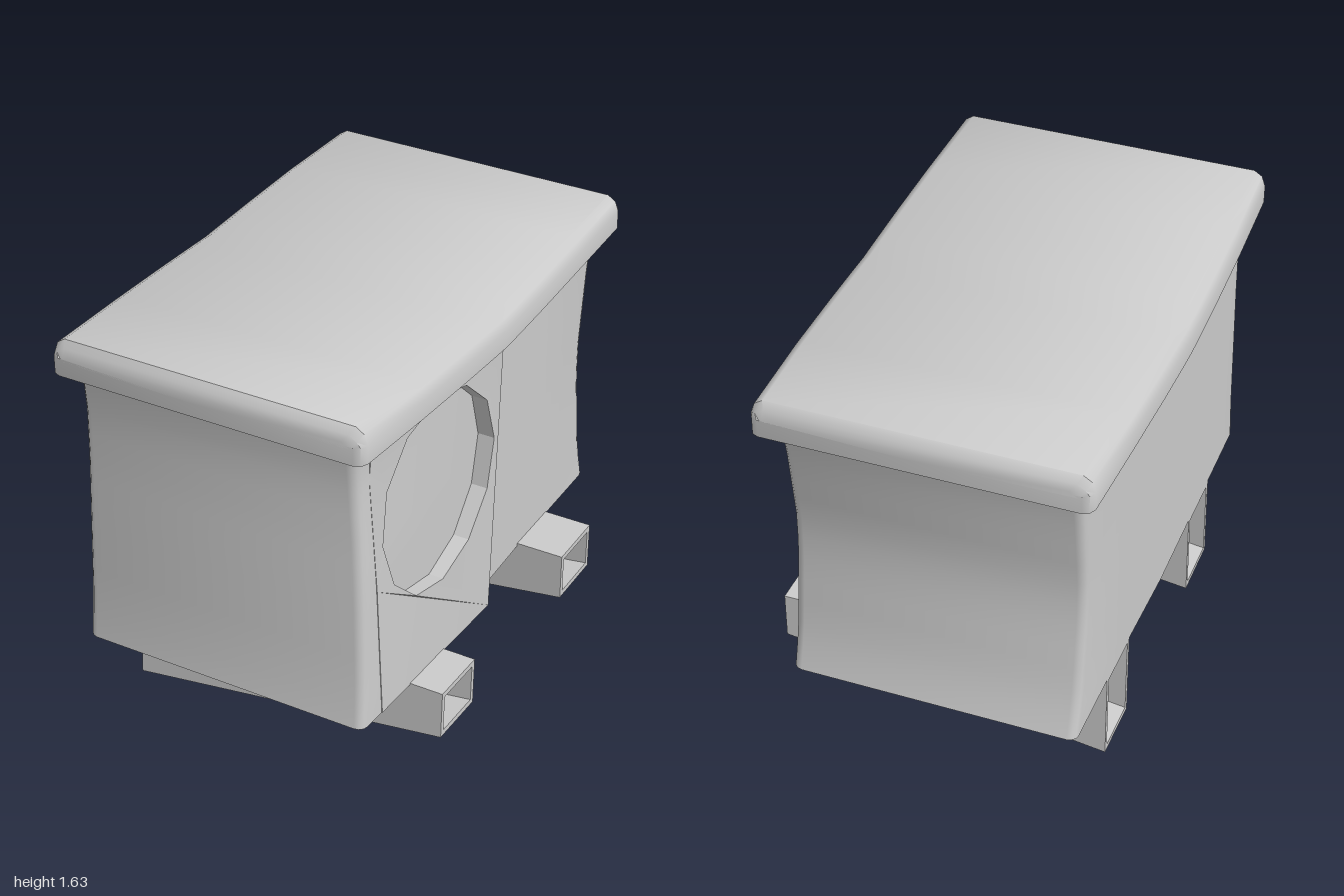
import * as THREE from 'three';
import { toCreasedNormals } from 'three/addons/utils/BufferGeometryUtils.js';

const material = new THREE.MeshStandardMaterial({ color: 0xcccccc });

// Piecewise linear lookup in a short list of [input, output] pairs
function lookup(table, t) {
  if (t <= table[0][0]) return table[0][1];
  for (let i = 1; i < table.length; i++) {
    const [a, va] = table[i - 1], [b, vb] = table[i];
    if (t <= b) return va + (vb - va) * (t - a) / (b - a);
  }
  return table[table.length - 1][1];
}

// Skin closed rings of equal length, with fan caps at both ends
function loft(rings) {
  const n = rings[0].length, pos = rings.flat(2), index = [];
  for (let k = 0; k < rings.length - 1; k++) {
    for (let i = 0; i < n; i++) {
      const j = (i + 1) % n, a = k * n, d = a + n;
      index.push(a + i, a + j, d + j, a + i, d + j, d + i);
    }
  }
  [0, rings.length - 1].forEach((k, end) => {
    const c = pos.length / 3;
    for (let q = 0; q < 3; q++) pos.push(rings[k].reduce((s, p) => s + p[q], 0) / n);
    for (let i = 0; i < n; i++) {
      const a = k * n + i, b = k * n + (i + 1) % n;
      index.push(...(end ? [c, a, b] : [c, b, a]));
    }
  });
  const g = new THREE.BufferGeometry();
  g.setAttribute('position', new THREE.Float32BufferAttribute(pos, 3));
  g.setIndex(index);
  return g;
}

function mesh(name, geometry, crease = 0.6) {
  const m = new THREE.Mesh(toCreasedNormals(geometry, crease), material);
  m.name = name;
  return m;
}

// Curved profiles of the body and the lid
const frontZ = y => lookup([[0.38, 0.975], [0.55, 0.955], [0.95, 0.93], [1.1, 0.92], [1.33, 0.915], [1.5, 0.94]], y);
const backZ = y => lookup([[0.37, -0.93], [0.53, -0.885], [0.85, -0.845], [1.0, -0.84], [1.35, -0.89], [1.5, -0.93]], y);
const bottomY = z => lookup([[-0.93, 0.37], [-0.45, 0.368], [0.04, 0.345], [0.975, 0.395]], z);
const lidY = z => lookup([[-1, 1.6], [-0.6, 1.597], [0, 1.58], [0.97, 1.63]], z);
const cornerX = y => lookup([[0.39, 0.547], [0.9, 0.522], [1.35, 0.487], [1.5, 0.5]], y);
const panelX = (z, y) => THREE.MathUtils.lerp(0.557, cornerX(y), THREE.MathUtils.clamp(z / 0.93, 0, 1));

// Right side of the body: recessed, except at the front corner
const bodyX = (z, y) => (z > 0.81 ? panelX(z, y) - 0.003 : Math.min(0.49, panelX(z, y) - 0.035));

function bodyGeometry() {
  const rings = [], r = 0.035, steps = 3;
  for (let k = 0; k <= 12; k++) {
    const v = k / 12, y0 = 0.38 + v * 1.1, zf = frontZ(y0), zb = backZ(y0);
    const ring = [];
    const add = (x, z) => ring.push([x, THREE.MathUtils.lerp(bottomY(z), lidY(z) - 0.11, v), z]);
    const corner = (sx, sz, start) => {
      for (let i = 0; i <= steps; i++) {
        const a = start + (i / steps) * Math.PI / 2;
        const z = (sz > 0 ? zf - r : zb + r) - Math.sin(a) * r;
        const side = sx > 0 ? bodyX(z, y0) : -0.6;
        add(side - sx * r + Math.cos(a) * r, z);
      }
    };
    corner(-1, 1, Math.PI);
    corner(1, 1, -Math.PI / 2);
    for (const z of [0.82, 0.8, 0.4, 0.04, -0.45]) add(bodyX(z, y0), z);
    corner(1, -1, 0);
    corner(-1, -1, Math.PI / 2);
    for (const z of [-0.45, 0.04, 0.4, 0.8]) add(-0.6, z);
    rings.push(ring);
  }
  return loft(rings);
}

// Raised side panel with a twelve-sided opening
function panelGeometry() {
  const zy = [[0.04, bottomY(0.04)], [-0.015, 1.47], [0.4, 1.49], [0.84, 1.51], [0.84, 1.35], [0.84, 0.9], [0.84, bottomY(0.84)]];
  const shape = new THREE.Shape(zy.map(([z, y]) => new THREE.Vector2(-z, y)));
  const hole = [];
  for (let i = 0; i < 12; i++) {
    const a = i / 12 * Math.PI * 2 + 0.04;
    hole.push(new THREE.Vector2(-0.41 + 0.377 * Math.cos(a), 1.067 + 0.382 * Math.sin(a)));
  }
  shape.holes.push(new THREE.Path(hole));
  const g = new THREE.ExtrudeGeometry(shape, { depth: 1, bevelEnabled: false });
  g.rotateY(Math.PI / 2);
  const p = g.attributes.position;
  for (let i = 0; i < p.count; i++) {
    p.setX(i, panelX(p.getZ(i), p.getY(i)) - (p.getX(i) < 0.5 ? 0.08 : 0));
  }
  return g;
}

// Sagging lid with rounded upper edges
function lidGeometry() {
  const end = [[1, 0.035, 0.05], [0.99, 0.012, 0.022], [0.965, 0, 0]];
  const stations = [
    ...end.map(([z, s, d]) => [-z, s, d]),
    ...[-0.6, -0.3, -0.1, 0, 0.1, 0.3, 0.6].map(z => [z, 0, 0]),
    ...end.slice().reverse(),
  ];
  return loft(stations.map(([z, shrink, drop]) => {
    const w = 0.632 - 0.022 * z * z - shrink, t = lidY(z) - drop, b = lidY(z) - 0.13;
    const half = [[w, b], [w, Math.min(t, lidY(z) - 0.06)], [w - 0.014, t - 0.02], [w - 0.045, t]];
    const left = half.map(([x, y]) => [-x, y]).reverse();
    return [...half, ...left].map(([x, y]) => [x - 0.053, y, z]);
  }));
}

// Hollow square beam that deepens toward the left wall's side
function beamGeometry() {
  const rect = (w, lo, hi) => [[-w, lo], [w, lo], [w, hi], [-w, hi]].map(p => new THREE.Vector2(...p));
  const shape = new THREE.Shape(rect(0.125, 0, 0.37));
  shape.holes.push(new THREE.Path(rect(0.105, 0.022, 0.348)));
  const length = 1.28;
  const g = new THREE.ExtrudeGeometry(shape, { depth: length, bevelEnabled: false });
  g.rotateY(Math.PI / 2);
  const p = g.attributes.position;
  for (let i = 0; i < p.count; i++) {
    if (p.getY(i) < 0.1) p.setY(i, p.getY(i) + 0.18 * p.getX(i) / length);
  }
  return g.translate(-0.6, 0, 0);
}

export function createModel() {
  const model = new THREE.Group();
  model.name = 'box';
  model.add(
    mesh('body', bodyGeometry()),
    mesh('sidePanel', panelGeometry(), 0.4),
    mesh('lid', lidGeometry(), 0.75),
  );
  for (const [name, z, y, tilt] of [['frontBeam', 0.53, -0.013, -0.04], ['backBeam', -0.46, 0.005, 0]]) {
    const beam = mesh(name, beamGeometry(), 0.4);
    beam.position.set(0, y, z);
    beam.rotation.x = tilt;
    if (tilt) beam.position.y += 0.02;
    model.add(beam);
  }
  return model;
}
